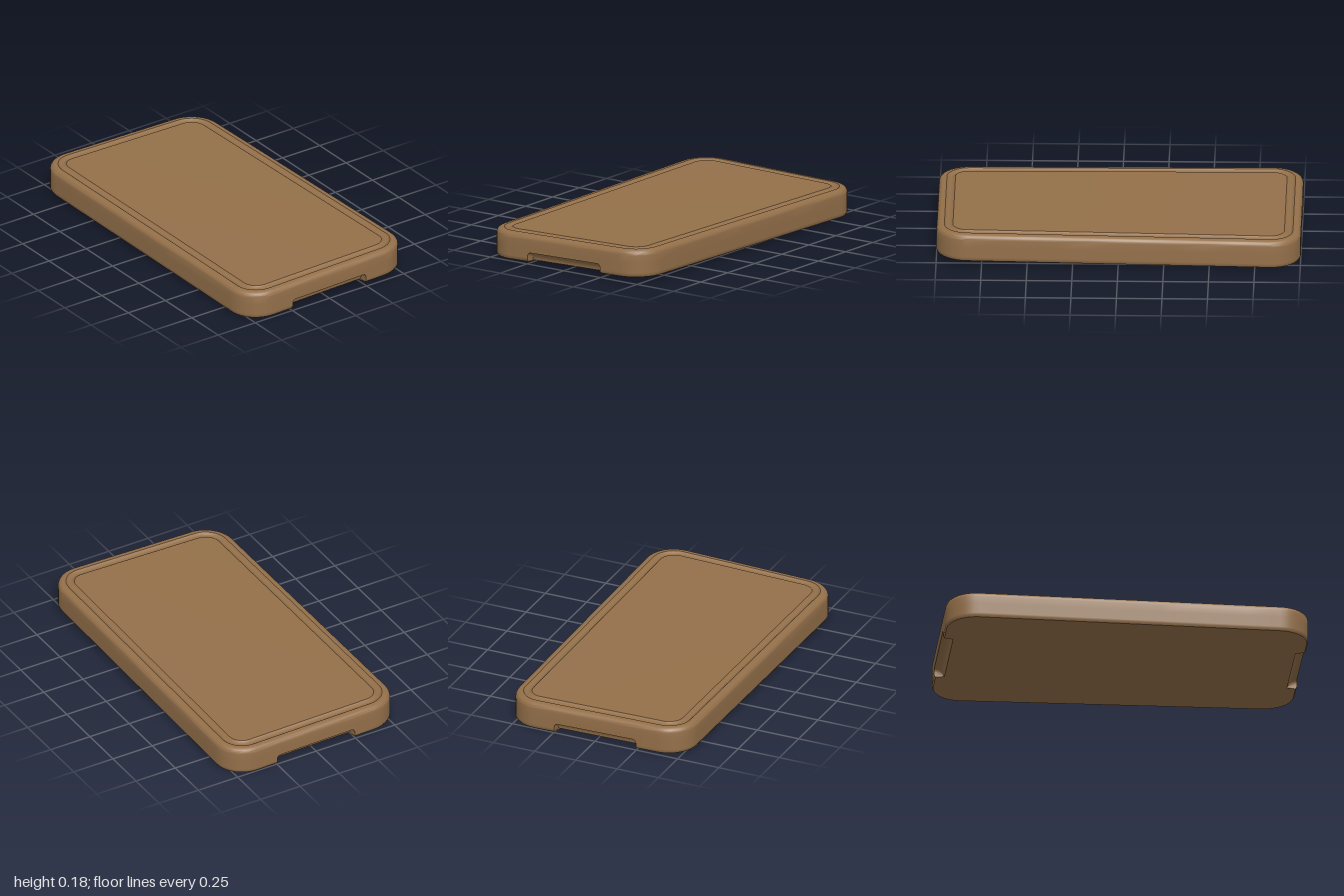
import * as THREE from 'three';
import { toCreasedNormals } from 'three/addons/utils/BufferGeometryUtils.js';

const HALF_X = 1, HALF_Z = 0.5425, CORNER = 0.17, THICK = 0.152;
const NOTCH = { half: 0.247, height: 0.052, depth: 0.055, round: 0.02 };

// Gentle twist of the wooden slab
const warp = (x, z) => {
  const w = z / HALF_Z;
  return 0.014 + 0.006 * x - 0.0025 * w - 0.0105 * x * w;
};

// Outline columns: rounded corners, long sides, and ends with hand-grip columns.
// Each column has a centre, an outward direction and a notch height (0 = plain).
function makeOutline() {
  const cols = [];
  const cx = HALF_X - CORNER, cz = HALF_Z - CORNER;
  const corner = (sx, sz, start) => {
    for (let i = 0; i <= 10; i++) {
      const a = start + (i / 10) * Math.PI / 2;
      cols.push({ x: sx * cx, z: sz * cz, dx: Math.cos(a), dz: Math.sin(a), h: 0 });
    }
  };
  const longSide = (s) => {
    for (let i = 1; i < 10; i++) cols.push({ x: s * cx * (1 - i / 5), z: s * cz, dx: 0, dz: s, h: 0 });
  };
  const end = (s) => {
    const half = [];
    for (let i = 0; i <= 5; i++) {
      const a = (i / 5) * Math.PI / 2;
      half.push([NOTCH.half - NOTCH.round * (1 - Math.cos(a)),
        NOTCH.height - NOTCH.round * (1 - Math.sin(a))]);
    }
    const list = [[NOTCH.half, 0], ...half, [0.11, NOTCH.height]];
    const all = [...list.map(([z, h]) => [-z, h]), [0, NOTCH.height], ...list.reverse()];
    all.forEach(([z, h]) => cols.push({ x: s * cx, z: s * z, dx: s, dz: 0, h }));
  };
  end(1);
  corner(1, 1, 0);
  longSide(1);
  corner(-1, 1, Math.PI / 2);
  end(-1);
  corner(-1, -1, Math.PI);
  longSide(-1);
  corner(1, -1, Math.PI * 1.5);
  return cols;
}

// One ring of points; scale shrinks it towards the centre
function ring(cols, insetOf, yOf, scale = 1) {
  return cols.map((c) => {
    const r = CORNER - insetOf(c);
    const x = (c.x + c.dx * r) * scale, z = (c.z + c.dz * r) * scale;
    return new THREE.Vector3(x, yOf(c) + warp(x, z), z);
  });
}

function loft(name, rings, material) {
  const n = rings[0].length, pos = [], index = [];
  rings.forEach((r) => r.forEach((p) => pos.push(p.x, p.y, p.z)));
  for (let k = 0; k < rings.length - 1; k++) {
    for (let i = 0; i < n; i++) {
      const a = k * n + i, b = k * n + (i + 1) % n;
      index.push(a, a + n, b, b, a + n, b + n);
    }
  }
  const geometry = new THREE.BufferGeometry();
  geometry.setAttribute('position', new THREE.Float32BufferAttribute(pos, 3));
  geometry.setIndex(index);
  const mesh = new THREE.Mesh(toCreasedNormals(geometry, 0.6), material);
  mesh.name = name;
  return mesh;
}

export function createModel() {
  const wood = new THREE.MeshStandardMaterial({ color: 0x94704a });
  wood.name = 'wood';
  const group = new THREE.Group();
  group.name = 'cuttingBoard';
  const cols = makeOutline();
  const plain = (inset, y, scale) => ring(cols, () => inset, () => y, scale);

  // Grip rows: coved where a column lies in a notch, straight elsewhere
  const gripRow = (u, scale) => ring(cols,
    (c) => (c.h ? NOTCH.depth * Math.cos(u) : (u === 0 ? 0.007 : 0)),
    (c) => (c.h || NOTCH.height) * Math.sin(u), scale);
  const grip = [];
  for (let i = 0; i <= 7; i++) grip.push(gripRow((i / 7) * Math.PI / 2));

  // Underside
  group.add(loft('underside', [0, 0.35, 0.7, 1].map((s) => gripRow(0, s)), wood));

  // Side wall and rounded rim
  const R = 0.03, rim = [...grip, plain(0, 0.08)];
  for (let i = 0; i <= 6; i++) {
    const a = (i / 6) * Math.PI / 2;
    rim.push(plain(R * (1 - Math.cos(a)), THICK - R * (1 - Math.sin(a))));
  }
  rim.push(plain(0.043, THICK));
  group.add(loft('sideAndRim', rim, wood));

  // Shallow juice groove
  const groove = [];
  for (let i = 0; i <= 8; i++) {
    const t = i / 8;
    groove.push(plain(0.043 + 0.047 * t, THICK - 0.012 * Math.sin(Math.PI * t)));
  }
  group.add(loft('juiceGroove', groove, wood));

  // Flat cutting surface
  group.add(loft('cuttingSurface', [1, 0.75, 0.5, 0.25, 0].map((s) => plain(0.09, THICK, s)), wood));
  return group;
}
